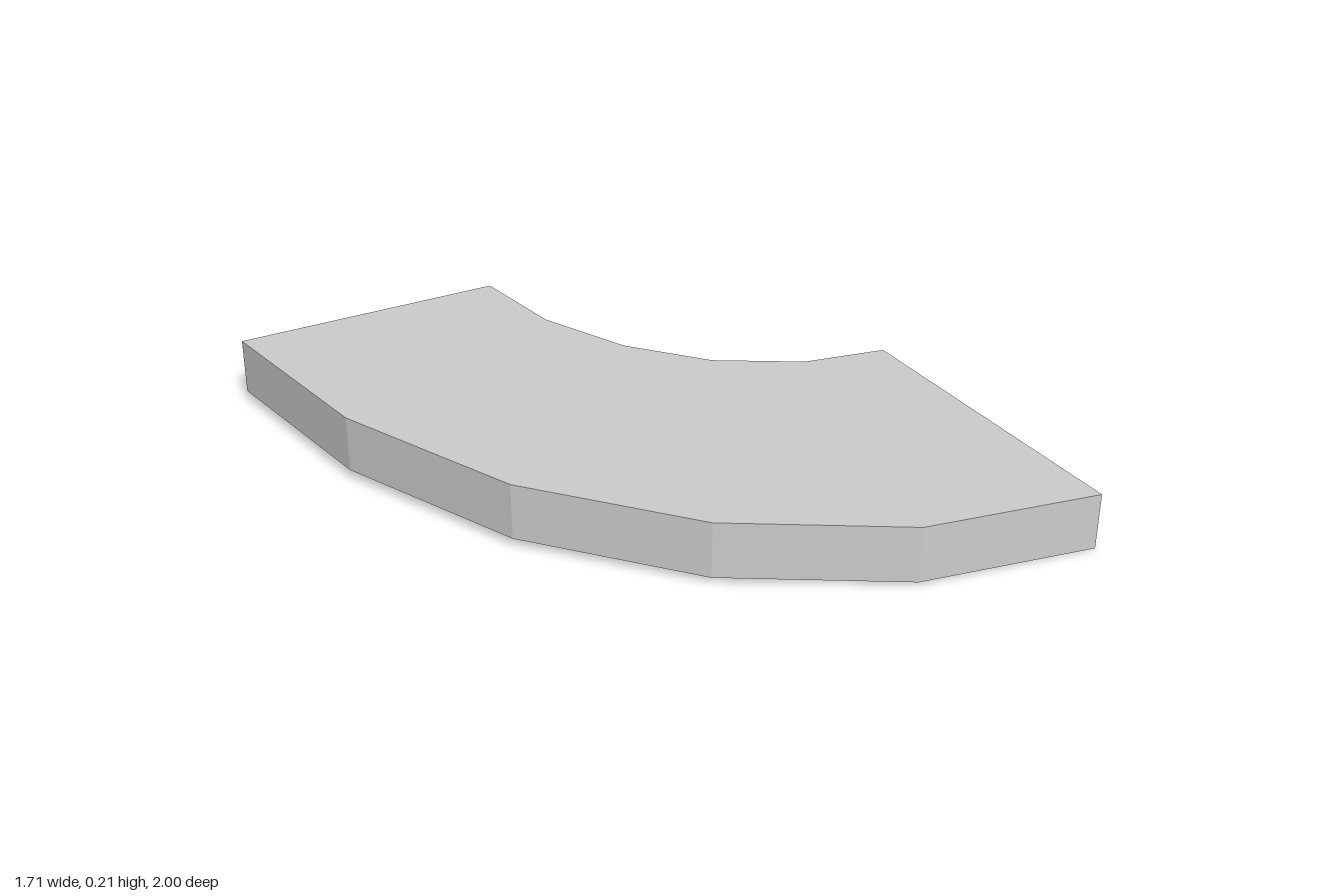
import * as THREE from 'three';

const HEIGHT = 0.174;
// Corner points [x, z]: round the outer bend, then back along the inner bend
const outer = [[0.853, 1], [0.32, 0.9], [-0.155, 0.61], [-0.53, 0.175], [-0.77, -0.39], [-0.853, -1]];
const inner = [[0, -1], [0.04, -0.69], [0.165, -0.41], [0.35, -0.195], [0.595, -0.05], [0.853, 0]];

// The whole channel rises gently towards -x
const floorAt = (x) => 0.02 * (0.853 - x);

// Flat sloping panel over the full outline
function panel(lift, faceDown) {
  const shape = new THREE.Shape([...outer, ...inner].map(([x, z]) => new THREE.Vector2(x, -z)));
  const geometry = new THREE.ShapeGeometry(shape).rotateX(-Math.PI / 2);
  const p = geometry.attributes.position;
  for (let i = 0; i < p.count; i++) p.setY(i, floorAt(p.getX(i)) + lift);
  if (faceDown) geometry.index.array.reverse();
  geometry.computeVertexNormals();
  return geometry;
}

// Upright faceted strip through a run of corner points
function wall(points) {
  const v = [];
  for (let i = 0; i < points.length - 1; i++) {
    const [a0, a1, b0, b1] = [points[i], points[i + 1]].flatMap(([x, z]) =>
      [0, HEIGHT].map((lift) => [x, floorAt(x) + lift, z]));
    v.push(...a0, ...a1, ...b1, ...a0, ...b1, ...b0);
  }
  const geometry = new THREE.BufferGeometry();
  geometry.setAttribute('position', new THREE.Float32BufferAttribute(v, 3));
  geometry.computeVertexNormals();
  return geometry;
}

export function createModel() {
  const group = new THREE.Group();
  group.name = 'curvedDuct';
  const grey = new THREE.MeshStandardMaterial({ color: 0xcccccc, side: THREE.DoubleSide, flatShading: true });
  grey.name = 'plain grey';

  const add = (name, geometry) => {
    const mesh = new THREE.Mesh(geometry, grey);
    mesh.name = name;
    group.add(mesh);
  };

  add('topPanel', panel(HEIGHT, false));
  add('bottomPanel', panel(0, true));
  add('outerWall', wall(outer));
  add('innerWall', wall(inner));
  // Only the back end is closed; the +x end stays open
  add('backCap', wall([outer.at(-1), inner[0]]));
  return group;
}
